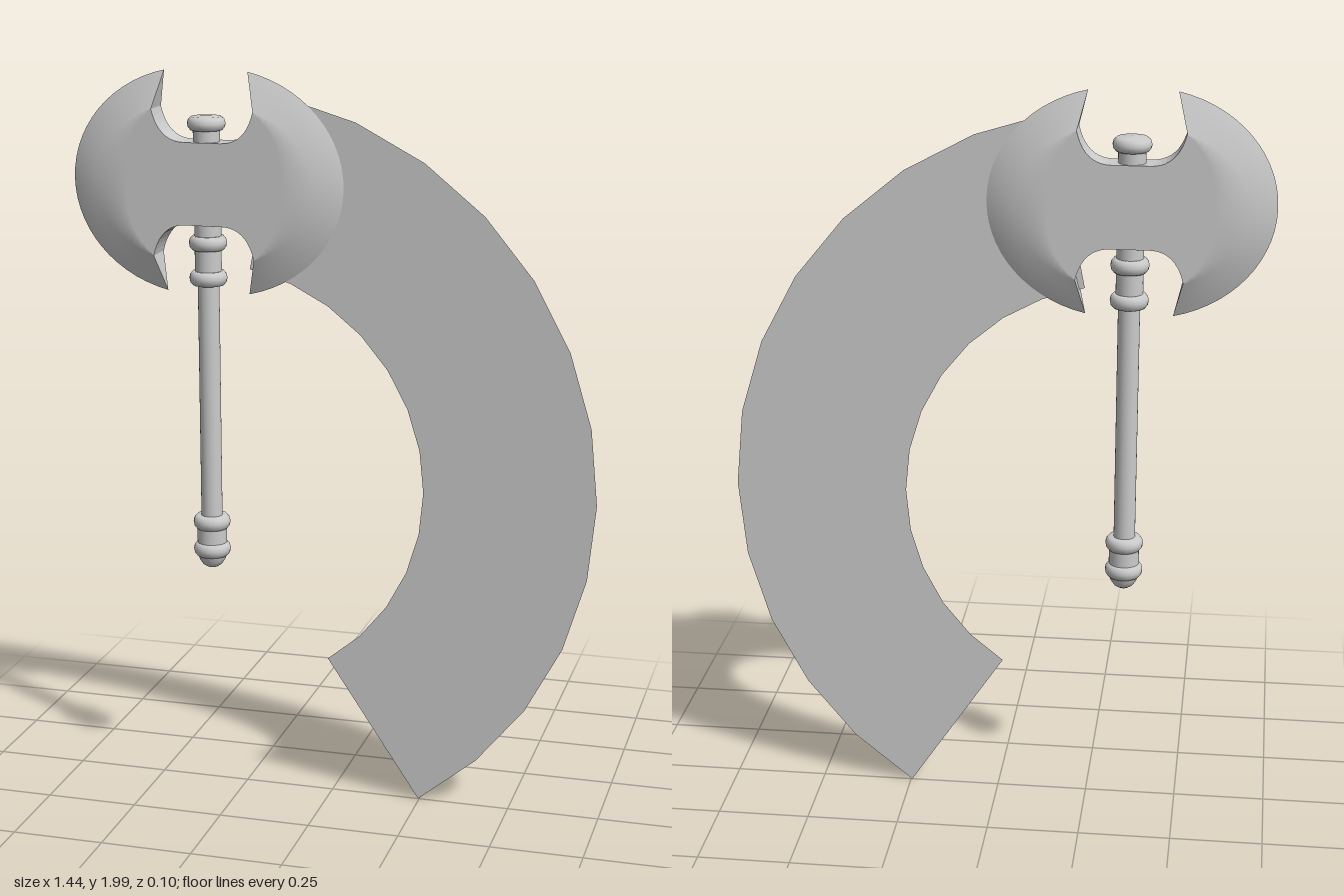
import * as THREE from 'three';

const AXIS_X = -0.345;   // handle axis
const HEAD_Y = 1.705;    // middle of the axe head
const HALF = 0.04;       // half thickness of the head
const STEPS = 28;

const material = new THREE.MeshStandardMaterial({ color: 0xcccccc });
const thin = new THREE.MeshStandardMaterial({ color: 0xcccccc, side: THREE.DoubleSide });

function mesh(name, geometry, mat = material) {
  const m = new THREE.Mesh(geometry, mat);
  m.name = name;
  return m;
}

// Point on an arc of the blade, t = 0 at the upper horn, 1 at the lower one
function arc(t, a, b, start) {
  const ang = start * (1 - 2 * t);
  return new THREE.Vector2(0.03 + a * Math.cos(ang), b * Math.sin(ang));
}
const edgePoint = t => arc(t, 0.345, 0.304, Math.acos(0.246));
const bevelPoint = t => arc(t, 0.275, 0.213, Math.acos(0.4));
const innerPoint = t =>
  bevelPoint(t).lerp(new THREE.Vector2(0.12, 0), 0.5 * Math.sin(Math.PI * t));

// One front quarter of the bevelled blade: edge, bevel and inner rows
function bladeGeometry() {
  const pos = [], idx = [];
  for (let i = 0; i <= STEPS; i++) {
    const t = i / STEPS;
    [edgePoint(t), bevelPoint(t), innerPoint(t)].forEach((p, k) =>
      pos.push(p.x, p.y, k ? HALF : 0));
  }
  for (let i = 0; i < STEPS; i++) {
    for (let k = 0; k < 2; k++) {
      const a = i * 3 + k, b = a + 1, c = a + 3, d = a + 4;
      idx.push(a, b, d, a, d, c);
    }
  }
  // Small triangles closing the horns
  for (const t of [0, 1]) {
    const e = edgePoint(t), b = bevelPoint(t), n = pos.length / 3;
    pos.push(e.x, e.y, 0, b.x, b.y, HALF, b.x, b.y, 0);
    idx.push(...(t ? [n, n + 1, n + 2] : [n, n + 2, n + 1]));
  }
  const g = new THREE.BufferGeometry();
  g.setAttribute('position', new THREE.Float32BufferAttribute(pos, 3));
  g.setIndex(idx);
  g.computeVertexNormals();
  return g;
}

// Flat middle of the head with the two curved notches
function plateGeometry() {
  const notch = new THREE.QuadraticBezierCurve(
    new THREE.Vector2(0.05, 0.11), new THREE.Vector2(0.12, 0.11), bevelPoint(0)
  ).getPoints(10);
  const half = [...notch];
  for (let i = 1; i < STEPS; i++) half.push(innerPoint(i / STEPS));
  half.push(...notch.map(p => new THREE.Vector2(p.x, -p.y)).reverse());
  const outline = [...half, ...half.map(p => p.clone().negate())];
  const g = new THREE.ExtrudeGeometry(new THREE.Shape(outline),
    { depth: 2 * HALF, bevelEnabled: false });
  return g.translate(0, 0, -HALF);
}

// Turned collar with a rounded rim
function collar(y, r = 0.051, h = 0.019) {
  const profile = [[0.02, -h], [r - 0.009, -h], [r - 0.002, -h * 0.55], [r, 0],
    [r - 0.002, h * 0.55], [r - 0.009, h], [0.02, h]];
  return new THREE.LatheGeometry(
    profile.map(([x, dy]) => new THREE.Vector2(x, y + dy)), 24);
}

// Flat curved band sweeping around the handle
function trailGeometry() {
  const step = Math.PI / 16;
  return new THREE.RingGeometry(0.597, 1.065, 12, 1, -5 * step, 12 * step);
}

export function createModel() {
  const model = new THREE.Group();

  // Handle
  const handle = new THREE.Group();
  handle.name = 'handle';
  handle.position.x = AXIS_X;
  const rod = (name, r, y0, y1) => {
    const m = mesh(name, new THREE.CylinderGeometry(r, r, y1 - y0, 24));
    m.position.y = (y0 + y1) / 2;
    handle.add(m);
  };
  rod('shaft', 0.029, 0.68, 1.87);
  rod('lowerGrip', 0.041, 0.69, 0.77);
  rod('upperNeck', 0.036, 1.45, 1.86);
  for (const y of [0.69, 0.768, 1.45, 1.545]) handle.add(mesh('collar', collar(y)));

  // Pommel and top cap
  const tip = [[0, 0.636], [0.015, 0.638], [0.026, 0.645], [0.036, 0.66], [0.041, 0.68]];
  handle.add(mesh('pommel',
    new THREE.LatheGeometry(tip.map(p => new THREE.Vector2(...p)), 24)));
  const cap = [[0.02, 1.845], [0.042, 1.845], [0.049, 1.853], [0.051, 1.863],
    [0.048, 1.874], [0.04, 1.881], [0, 1.884]];
  handle.add(mesh('topCap',
    new THREE.LatheGeometry(cap.map(p => new THREE.Vector2(...p)), 24)));
  model.add(handle);

  // Double axe head: four copies of the blade quarter around the plate
  const head = new THREE.Group();
  head.name = 'axeHead';
  head.position.set(AXIS_X, HEAD_Y, 0);
  head.add(mesh('headPlate', plateGeometry()));
  const blade = bladeGeometry();
  for (const turn of [[0, 0, 0], [Math.PI, 0, 0], [0, Math.PI, 0], [0, 0, Math.PI]]) {
    const b = mesh('blade', blade);
    b.rotation.set(...turn);
    head.add(b);
  }
  model.add(head);

  // Swing trail
  const trail = mesh('swingTrail', trailGeometry(), thin);
  trail.position.set(AXIS_X, 0.893, 0);
  model.add(trail);

  return model;
}
